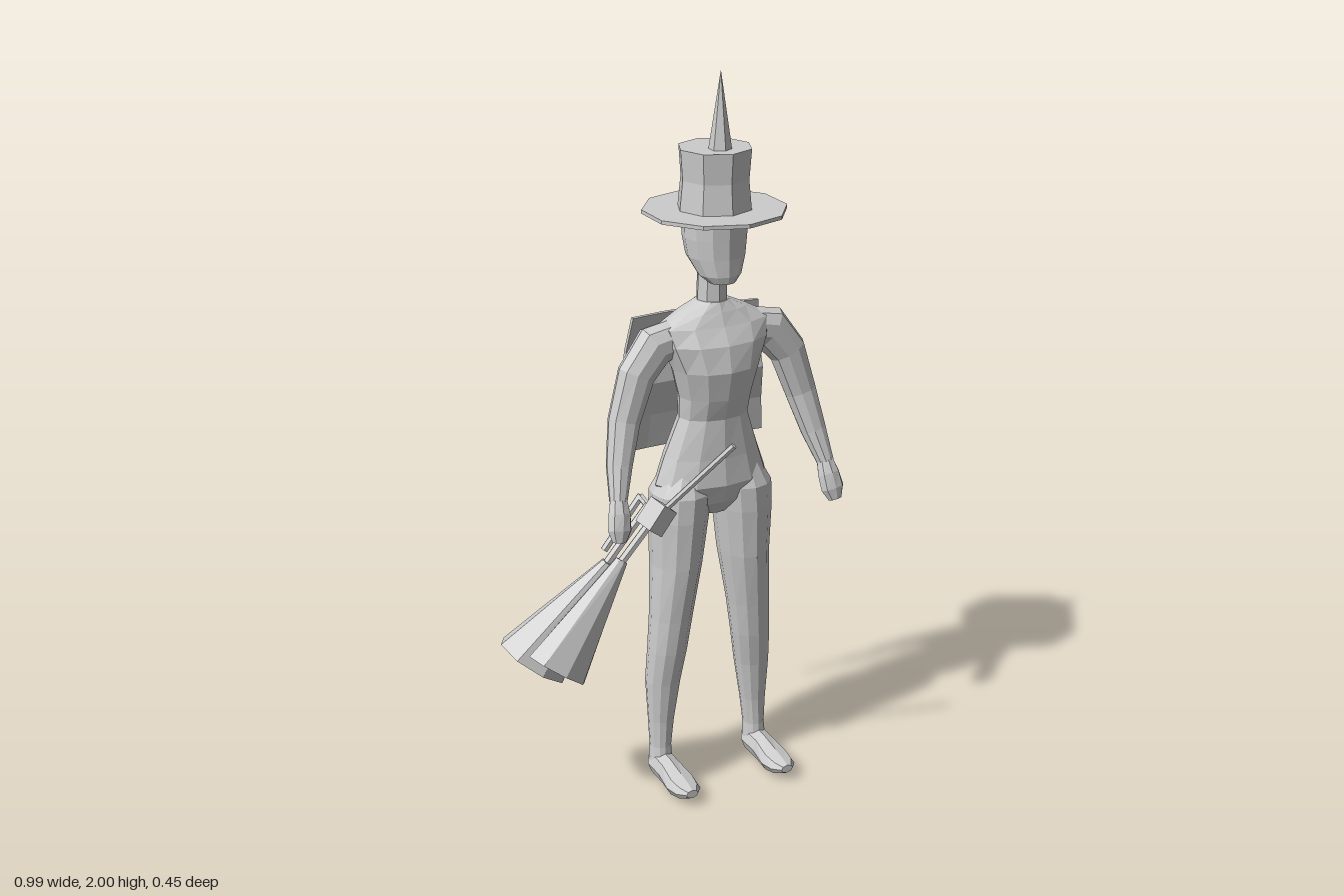
import * as THREE from 'three';

const V = (x, y, z) => new THREE.Vector3(x, y, z);

// Faceted normals stored in the geometry
function faceted(geo) {
  const g = geo.index ? geo.toNonIndexed() : geo;
  g.computeVertexNormals();
  return g;
}

// Capped skin over elliptical rings [x, y, z, halfWidth, halfDepth]
// ref: direction of the halfDepth axis; normal: fixed ring normal along the path, else the path tangent
function loft(rings, sides, ref = V(0, 0, 1), normal = null) {
  const pos = [], idx = [];
  const centres = rings.map(([x, y, z]) => V(x, y, z));
  rings.forEach(([, , , a, b], i) => {
    const t = normal ? normal.clone() : centres[Math.min(i + 1, rings.length - 1)].clone()
      .sub(centres[Math.max(i - 1, 0)]).normalize();
    const u = t.clone().cross(ref).normalize();
    const v = u.clone().cross(t);
    for (let j = 0; j < sides; j++) {
      const k = (j / sides) * Math.PI * 2;
      const p = centres[i].clone().addScaledVector(u, a * Math.cos(k)).addScaledVector(v, b * Math.sin(k));
      pos.push(p.x, p.y, p.z);
    }
  });
  const last = rings.length - 1, c0 = pos.length / 3;
  pos.push(...centres[0].toArray(), ...centres[last].toArray());
  for (let j = 0; j < sides; j++) {
    const k = (j + 1) % sides;
    for (let i = 0; i < last; i++) {
      const p = i * sides, q = p + sides;
      idx.push(p + j, q + j, p + k, p + k, q + j, q + k);
    }
    idx.push(c0, j, k, c0 + 1, last * sides + k, last * sides + j);
  }
  const g = new THREE.BufferGeometry();
  g.setAttribute('position', new THREE.Float32BufferAttribute(pos, 3));
  g.setIndex(idx);
  return faceted(g);
}

export function createModel() {
  const grey = new THREE.MeshStandardMaterial({ color: 0xcccccc });
  grey.name = 'light grey';
  const model = new THREE.Group();
  model.name = 'broomCarrier';
  const figure = new THREE.Group();
  figure.name = 'figure';
  figure.position.x = 0.138;
  model.add(figure);

  const add = (parent, name, geo) => {
    const m = new THREE.Mesh(geo, grey);
    m.name = name;
    parent.add(m);
    return m;
  };
  const up = V(0, 1, 0), down = V(0, -1, 0), front = V(0, 0, 1);

  // Torso from crotch to collar
  add(figure, 'torso', loft([
    [0, 0.8, -0.045, 0.05, 0.045], [0, 0.84, -0.045, 0.13, 0.075], [0, 0.895, -0.045, 0.166, 0.093],
    [0, 0.97, -0.045, 0.14, 0.085], [0, 1.08, -0.035, 0.1, 0.07], [0, 1.14, -0.028, 0.103, 0.082],
    [0, 1.22, -0.025, 0.124, 0.095], [0, 1.29, -0.03, 0.155, 0.086], [0, 1.335, -0.04, 0.165, 0.068],
    [0, 1.37, -0.045, 0.1, 0.057], [0, 1.395, -0.045, 0.045, 0.045],
  ], 12, front, up));

  // Neck and head
  add(figure, 'neck', loft([
    [0, 1.37, -0.045, 0.043, 0.043], [0, 1.45, -0.045, 0.04, 0.042], [0, 1.53, -0.045, 0.04, 0.04],
  ], 8, front, up));
  add(figure, 'head', loft([
    [0, 1.455, 0.012, 0.036, 0.034], [0, 1.475, -0.004, 0.058, 0.055], [0, 1.52, -0.027, 0.078, 0.077],
    [0, 1.57, -0.033, 0.085, 0.084], [0, 1.61, -0.034, 0.086, 0.086], [0, 1.65, -0.034, 0.075, 0.075],
  ], 12, front, up));

  // Hat: ten-sided brim, eight-sided crown, six-sided spike
  const hat = new THREE.Group();
  hat.name = 'hat';
  hat.position.z = -0.033;
  figure.add(hat);
  add(hat, 'hatBrim', faceted(new THREE.CylinderGeometry(0.19, 0.19, 0.01, 10))).position.y = 1.637;
  add(hat, 'hatCrown', loft([
    [0, 1.64, 0, 0.1, 0.1], [0, 1.72, 0, 0.092, 0.092], [0, 1.8, 0, 0.098, 0.098],
  ], 8, front, up));
  add(hat, 'hatSpike', faceted(new THREE.ConeGeometry(0.03, 0.2, 6))).position.set(0, 1.9, 0.028);

  // Limbs, mirrored
  for (const s of [1, -1]) {
    const side = s > 0 ? 'left' : 'right';
    const mirror = (rings) => rings.map(([x, ...r]) => [x * s, ...r]);
    add(figure, side + 'Arm', loft(mirror([
      [0.09, 1.31, -0.04, 0.05, 0.045], [0.17, 1.29, -0.04, 0.06, 0.046], [0.225, 1.22, -0.036, 0.053, 0.043],
      [0.265, 1.1, -0.028, 0.045, 0.04], [0.293, 0.99, 0.0, 0.036, 0.034], [0.313, 0.905, 0.035, 0.024, 0.024],
    ]), 10));
    add(figure, side + 'Hand', loft(mirror([
      [0.311, 0.915, 0.032, 0.023, 0.022], [0.316, 0.875, 0.048, 0.032, 0.026],
      [0.322, 0.835, 0.062, 0.034, 0.022], [0.327, 0.805, 0.07, 0.02, 0.014],
    ]), 8));
    add(figure, side + 'Leg', loft(mirror([
      [0.085, 0.93, -0.045, 0.055, 0.065], [0.092, 0.87, -0.045, 0.083, 0.09], [0.097, 0.8, -0.045, 0.081, 0.09],
      [0.104, 0.66, -0.047, 0.07, 0.083], [0.12, 0.5, -0.045, 0.06, 0.062], [0.13, 0.4, -0.047, 0.056, 0.054],
      [0.14, 0.3, -0.055, 0.05, 0.047], [0.146, 0.18, -0.055, 0.037, 0.036], [0.149, 0.1, -0.053, 0.03, 0.033],
      [0.15, 0.05, -0.05, 0.033, 0.035],
    ]), 12, front, down));
    add(figure, side + 'Foot', loft(mirror([
      [0.15, 0.045, -0.085, 0.022, 0.022], [0.15, 0.042, -0.055, 0.037, 0.04], [0.15, 0.04, 0.01, 0.036, 0.04],
      [0.15, 0.035, 0.08, 0.045, 0.033], [0.15, 0.037, 0.122, 0.038, 0.024], [0.15, 0.04, 0.147, 0.018, 0.012],
    ]), 8, up, front));
  }

  // Rippled cape, wider at the hem and bowed backwards
  const cape = new THREE.BoxGeometry(1, 1, 1, 4, 4, 1);
  const ripple = [-0.19, -0.175, -0.147, -0.157, -0.135];
  const cp = cape.attributes.position;
  for (let i = 0; i < cp.count; i++) {
    const x = cp.getX(i), row = cp.getY(i) + 0.5;
    cp.setXYZ(i, x * (0.47 - 0.095 * row), 0.94 + 0.4 * row,
      ripple[Math.round(row * 4)] - 0.014 * (1 - 4 * x * x) + cp.getZ(i) * 0.012);
  }
  add(figure, 'cape', faceted(cape));

  // Broom: handle, binding block, side rods and two bristle bundles
  const broom = new THREE.Group();
  broom.name = 'broom';
  model.add(broom);
  const rod = (name, a, b, r) => add(broom, name, loft([[...a, r, r], [...b, r, r]], 6));
  rod('broomHandle', [0.068, 1.083, 0.215], [-0.1, 0.86, 0.09], 0.009);
  const block = add(broom, 'broomBlock', faceted(new THREE.BoxGeometry(0.05, 0.075, 0.065)));
  block.position.set(-0.092, 0.868, 0.09);
  block.rotation.set(0.1, 0.15, -0.66);
  add(broom, 'crossRod', loft([
    [-0.092, 0.868, 0.1, 0.01, 0.01], [-0.078, 0.875, -0.032, 0.01, 0.01],
  ], 6, up));
  rod('shortRod', [-0.078, 0.88, -0.03], [-0.185, 0.74, -0.036], 0.011);
  rod('innerRod', [-0.083, 0.875, 0.025], [-0.22, 0.715, 0.025], 0.012);
  rod('outerRod', [-0.092, 0.868, 0.085], [-0.2, 0.735, 0.073], 0.012);
  add(broom, 'innerBristles', loft([
    [-0.205, 0.735, 0.03, 0.018, 0.016], [-0.405, 0.469, -0.02, 0.112, 0.084],
  ], 8));
  add(broom, 'outerBristles', loft([
    [-0.185, 0.755, 0.073, 0.018, 0.016], [-0.383, 0.487, 0.09, 0.096, 0.056],
  ], 8));

  return model;
}
